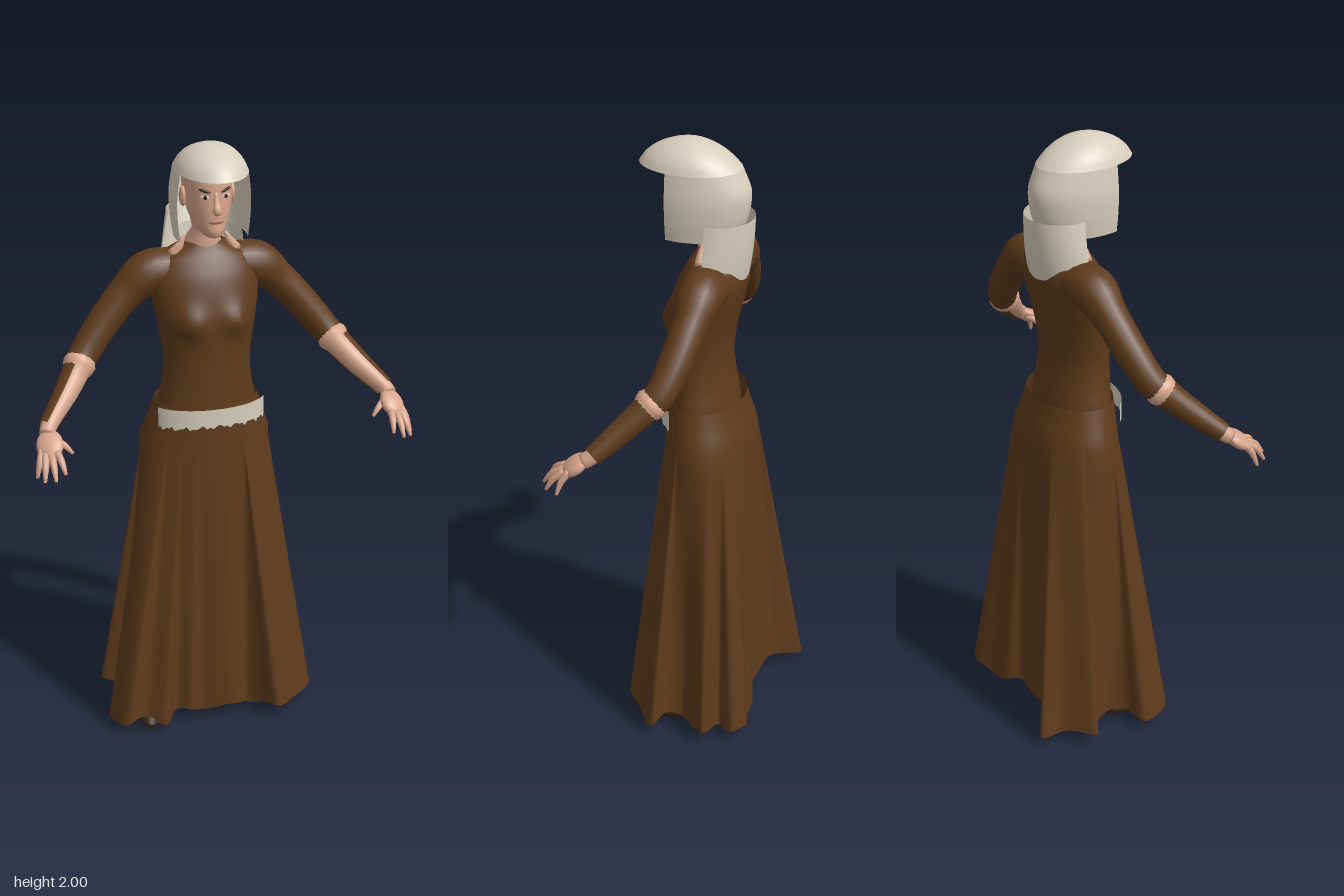
import * as THREE from 'three';

const V = (x, y, z) => new THREE.Vector3(x, y, z);
const mat = (name, color) => {
  const m = new THREE.MeshStandardMaterial({ color, side: THREE.DoubleSide });
  m.name = name;
  return m;
};

// Surface through rings of points, ordered from bottom to top
function loft(rings, closed = true) {
  const n = rings[0].length, pos = [], idx = [];
  rings.forEach(r => r.forEach(p => pos.push(p.x, p.y, p.z)));
  for (let i = 0; i < rings.length - 1; i++) {
    for (let j = 0; j < (closed ? n : n - 1); j++) {
      const k = (j + 1) % n, a = i * n + j, b = i * n + k, c = a + n, d = b + n;
      idx.push(a, b, c, b, d, c);
    }
  }
  const g = new THREE.BufferGeometry();
  g.setAttribute('position', new THREE.Float32BufferAttribute(pos, 3));
  g.setIndex(idx);
  g.computeVertexNormals();
  return g;
}

// Horizontal oval ring: height, half width, front z, back z, widest z
function oval([y, w, zf, zb], n, mid = (zf + zb) / 2, u0 = 0, u1 = Math.PI * 2, open = false) {
  return Array.from({ length: n }, (_, j) => {
    const u = u0 + (u1 - u0) * j / (open ? n - 1 : n), c = Math.cos(u);
    return V(w * Math.sin(u), y, mid + c * (c > 0 ? zf - mid : mid - zb));
  });
}

// Smoothly resample rows of numbers
function smoothRows(rows, steps) {
  const a = new THREE.CatmullRomCurve3(rows.map(r => V(r[0], r[1], r[2])));
  const b = new THREE.CatmullRomCurve3(rows.map(r => V(r[3], 0, 0)));
  return Array.from({ length: steps + 1 }, (_, i) => {
    const p = a.getPoint(i / steps);
    return [p.x, p.y, p.z, b.getPoint(i / steps).x];
  });
}

// Tapered limb through [x, y, z, radius]; ref sets angle zero, arc the covered angles
function limb(rows, steps = 16, n = 14, ref = V(0, 0, 1), arc = null) {
  const pts = smoothRows(rows, steps), P = i => V(pts[i][0], pts[i][1], pts[i][2]);
  const rings = pts.map((p, i) => {
    const d = P(Math.min(i + 1, steps)).sub(P(Math.max(i - 1, 0))).normalize();
    const e1 = ref.clone().addScaledVector(d, -ref.dot(d)).normalize(), e2 = d.clone().cross(e1);
    return Array.from({ length: n }, (_, j) => {
      const u = arc ? arc[0] + (arc[1] - arc[0]) * j / (n - 1) : Math.PI * 2 * j / n;
      return P(i).addScaledVector(e1, Math.cos(u) * p[3]).addScaledVector(e2, Math.sin(u) * p[3]);
    });
  });
  if (!arc) {
    rings.unshift(rings[0].map(() => P(0)));
    rings.push(rings[0].map(() => P(steps)));
  }
  return loft(rings, !arc);
}

export function createModel() {
  const cloth = mat('brown cloth', 0x5e3b1c), cream = mat('cream cloth', 0xd6cfbd);
  const skin = mat('skin', 0xd6a58c), leather = mat('dark leather', 0x3a2718);
  const dark = mat('dark hair', 0x2a1c16), white = mat('eye white', 0xd8d2ca), lip = mat('lips', 0xa8695a);
  const model = new THREE.Group();
  const add = (name, geo, m, parent = model) => {
    const mesh = new THREE.Mesh(geo, m);
    mesh.name = name;
    parent.add(mesh);
    return mesh;
  };

  // Skirt: hip oval blending down into a folded hem
  const hem = [[0, .12], [.06, .13], [.11, .10], [.15, .13], [.20, .185], [.26, .13], [.355, .05], [.28, .02],
    [.26, -.03], [.32, -.09], [.345, -.13], [.26, -.155], [.30, -.21], [.26, -.25], [.18, -.23], [.10, -.225],
    [.06, -.19], [0, -.19], [-.07, -.20], [-.14, -.22], [-.22, -.305], [-.25, -.23], [-.34, -.16], [-.27, -.12],
    [-.25, -.05], [-.28, 0], [-.355, .03], [-.32, .145], [-.25, .12], [-.19, .16], [-.14, .10], [-.09, .125], [-.05, .10]];
  const hemCurve = new THREE.CatmullRomCurve3(hem.map(([x, z]) => V(x, 0, z)), true, 'centripetal');
  const hemPts = Array.from({ length: 198 }, (_, i) => hemCurve.getPoint(i / 198));
  const hipPoint = (p, w, zf, zb) => {
    const u = Math.atan2(p.x / .34, (p.z + .04) / .2), mid = (zf + zb) / 2;
    return V(w * Math.sin(u), 0, mid + Math.cos(u) * (zf - zb) / 2);
  };
  const skirtRings = [];
  for (let i = 0; i <= 12; i++) {
    skirtRings.push(hemPts.map((p, j) => {
      const s = 1 - i / 12, q = hipPoint(p, .213, .097, -.178).lerp(p, s);
      q.y = 1.03 - s * (.985 - .012 * Math.sin(j * .35));
      return q;
    }));
  }
  for (const [y, w, zf, zb] of [[1.08, .194, .097, -.165], [1.12, .182, .096, -.152], [1.16, .168, .094, -.146]])
    skirtRings.push(hemPts.map(p => hipPoint(p, w, zf, zb).setY(y)));
  add('skirt', loft(skirtRings), cloth);

  // Bodice
  const torso = smoothRows([[1.06, .17, .085, -.13], [1.16, .158, .087, -.12], [1.22, .146, .086, -.11],
    [1.30, .14, .086, -.102], [1.38, .15, .088, -.11], [1.44, .16, .088, -.122], [1.50, .17, .078, -.137],
    [1.57, .172, .056, -.148], [1.62, .15, .03, -.142], [1.65, .10, .012, -.122], [1.672, .06, 0, -.105]], 44);
  const bodice = torso.map(r => oval(r, 56));
  bodice.flat().forEach(p => {
    if (p.z > -.02)
      p.z += .024 * Math.exp(-(((Math.abs(p.x) - .075) / .045) ** 2) - ((p.y - 1.44) / .05) ** 2);
  });
  add('bodice', loft(bodice), cloth);

  // Belt panel with a ragged lower edge
  const beltRing = t => Array.from({ length: 41 }, (_, j) => {
    const u = (j / 20 - 1) * 1.2, low = 1.1 + .009 * Math.sin(j * 1.9) * Math.sin(j * .7) - .008 * Math.abs(j / 20 - 1);
    return V(.187 * Math.sin(u), low + (1.16 - low) * t, .005 + .107 * Math.cos(u));
  });
  add('belt', loft([beltRing(0), beltRing(1)], false), cream);

  // Arms, hands and shoes
  for (const s of [1, -1]) {
    const side = s > 0 ? 'left' : 'right', m = rows => rows.map(([x, y, z, r]) => [s * x, y, z, r]);
    const arm = new THREE.Group();
    arm.name = side + 'Arm';
    model.add(arm);
    const inner = V(-s * .75, .1, .65);
    add('upperSleeve', limb(m([[.07, 1.575, -.06, .07], [.17, 1.575, -.06, .071], [.25, 1.515, -.055, .055],
      [.34, 1.415, -.035, .051], [.40, 1.34, -.008, .047], [.425, 1.31, .02, .043]]), 24, 18), cloth, arm);
    add('forearmSleeve', limb(m([[.40, 1.34, -.008, .047], [.425, 1.31, .02, .045], [.475, 1.255, .075, .04],
      [.545, 1.188, .148, .031]]), 14, 14, inner, [1.25, Math.PI * 2 - 1.25]), cloth, arm);
    add('forearm', limb(m([[.40, 1.34, -.008, .042], [.425, 1.31, .02, .042], [.475, 1.255, .075, .036],
      [.545, 1.188, .148, .025], [.555, 1.172, .17, .024]]), 14, 14, inner), skin, arm);
    const palm = add('palm', new THREE.SphereGeometry(1, 18, 12), skin, arm);
    palm.scale.set(.042, .022, .052);
    palm.position.set(s * .553, 1.152, .2);
    palm.rotation.set(.6, 0, -s * .35);
    const fingers = [[.578, 1.142, .208, .603, 1.068, .243], [.571, 1.134, .226, .587, 1.07, .284],
      [.555, 1.135, .234, .557, 1.077, .303], [.537, 1.14, .234, .525, 1.092, .294], [.535, 1.16, .18, .485, 1.12, .213]];
    fingers.forEach(([a, b, c, d, e, f], i) => add(i < 4 ? 'finger' : 'thumb', limb(m([[a, b, c, .012],
      [(a + d) / 2, (b + e) / 2 + .007, (c + f) / 2 + .004, .0105], [d, e, f, .005]]), 6, 8, V(1, 0, .1)), skin, arm));

    const shoe = add(side + 'Shoe', new THREE.SphereGeometry(1, 20, 14), leather);
    shoe.scale.set(.042, .034, .112);
    shoe.position.set(s * .222, .034, .04);
    shoe.rotation.y = s * .15;
    add(side + 'Ankle', limb([[s * .212, .03, -.025, .036], [s * .205, .11, -.035, .034],
      [s * .19, .25, -.04, .045]], 8, 12), leather);
  }

  // Neck and head
  add('neck', limb([[0, 1.61, -.055, .075], [0, 1.665, -.05, .058], [0, 1.69, -.04, .05], [0, 1.77, -.03, .05]], 10, 20), skin);
  for (const s of [1, -1])
    add('collarSkin', limb([[s * .10, 1.635, -.035, .02], [s * .082, 1.663, -.03, .014], [s * .066, 1.695, -.03, .005]], 6, 8), skin);
  const head = new THREE.Group();
  head.name = 'head';
  model.add(head);
  const skull = smoothRows([[1.712, .012, .07, .02], [1.722, .03, .094, -.01], [1.74, .044, .1, -.04],
    [1.765, .057, .098, -.07], [1.80, .068, .098, -.09], [1.85, .074, .095, -.11], [1.90, .073, .09, -.12],
    [1.94, .058, .065, -.1], [1.96, .03, .03, -.06], [1.966, .002, -.01, -.02]], 30);
  add('skull', loft(skull.map(r => oval(r, 36))), skin, head);
  add('nose', limb([[0, 1.862, .089, .007], [0, 1.83, .098, .009], [0, 1.808, .105, .014], [0, 1.799, .1, .010]], 10, 12), skin, head);
  add('lips', new THREE.SphereGeometry(1, 14, 8).scale(.023, .0065, .004).translate(0, 1.771, .096), lip, head);
  const dot = (name, sx, sy, x, y, z, m, tilt, turn) => {
    const e = add(name, new THREE.SphereGeometry(1, 14, 8), m, head);
    e.scale.set(sx, sy, .0045);
    e.position.set(x, y, z);
    e.rotation.set(0, turn, tilt);
  };
  for (const s of [1, -1]) {
    dot('eye', .015, .0065, s * .033, 1.848, .085, white, s * .1, s * .35);
    dot('iris', .0065, .0065, s * .032, 1.848, .0875, dark, 0, s * .35);
    dot('brow', .02, .0045, s * .033, 1.867, .085, dark, s * .28, s * .35);
    const ear = add('ear', new THREE.SphereGeometry(1, 12, 10), skin, head);
    ear.scale.set(.011, .032, .019);
    ear.position.set(s * .077, 1.83, -.005);
  }

  // Helmet: peaked dome, open-faced sides and neck cover
  const helmet = new THREE.Group();
  helmet.name = 'helmet';
  model.add(helmet);
  const dome = smoothRows([[1.92, .111, .19, -.13], [1.945, .1, .172, -.104], [1.97, .08, .14, -.067],
    [1.99, .049, .095, -.018], [1.998, .022, .06, .012], [2, .001, .037, .035]], 20);
  add('dome', loft(dome.map(r => oval(r, 48, .03))), cream, helmet);
  const edge = Math.acos(.045 / .16);
  const sides = smoothRows([[1.71, .111, .19, -.125], [1.77, .118, .19, -.15], [1.84, .12, .19, -.159], [1.92, .111, .19, -.13]], 14);
  add('helmetSides', loft(sides.map(r => oval(r, 36, .03, edge, Math.PI * 2 - edge, true)), false), cream, helmet);
  const cover = [];
  for (let i = 0; i <= 8; i++) {
    const t = 1 - i / 8, ring = oval([0, .114 + .018 * t, .07, -.17 + .02 * t * t], 29, -.05, Math.PI / 2, Math.PI * 1.5, true);
    ring.forEach((p, j) => {
      const low = 1.65 - .075 * Math.sin(Math.PI * j / 28) ** 2;
      p.y = 1.77 + (low - 1.77) * t;
    });
    cover.push(ring);
  }
  add('neckCover', loft(cover, false), cream, helmet);

  return model;
}
